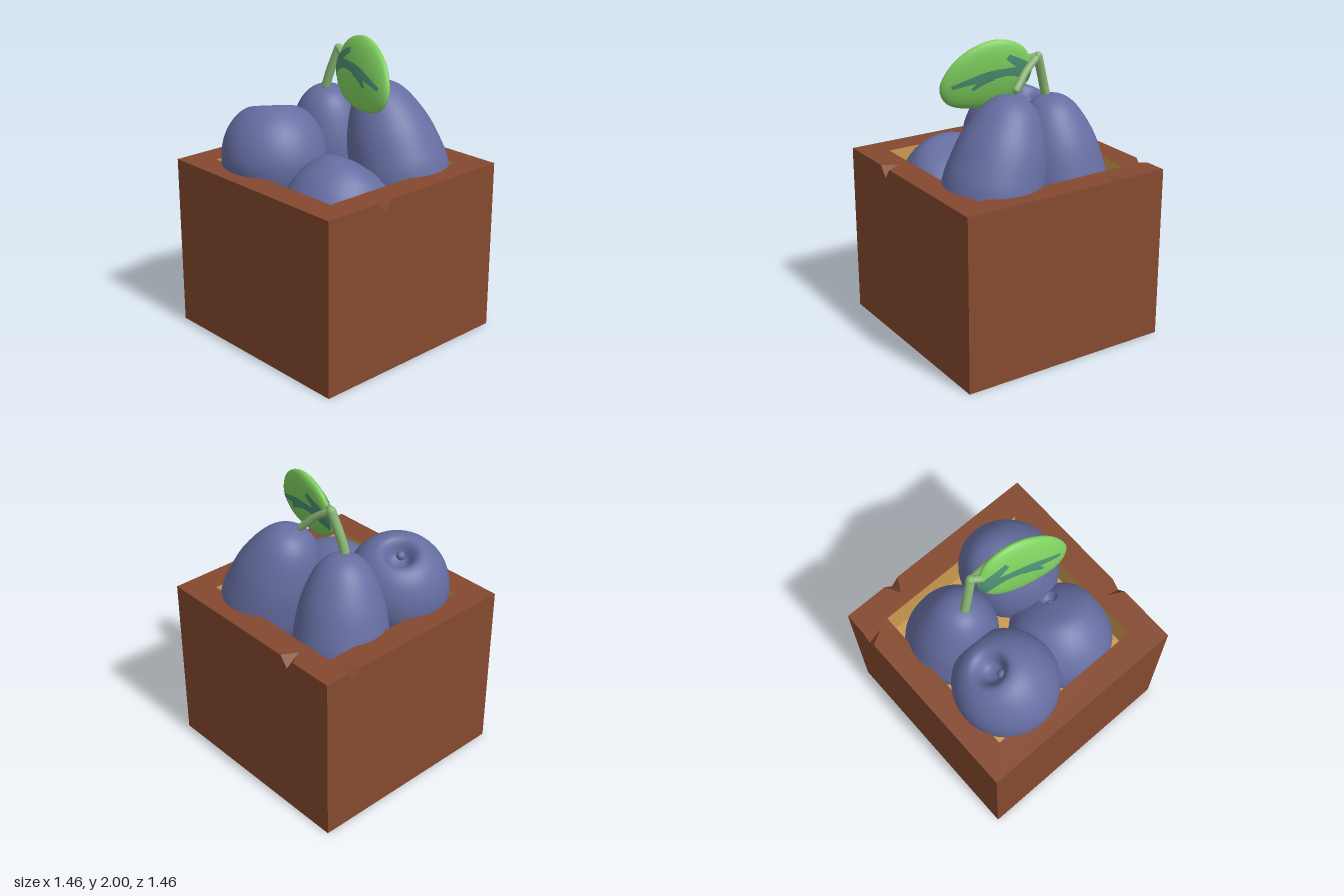
import * as THREE from 'three';
import { mergeVertices } from 'three/addons/utils/BufferGeometryUtils.js';

const mat = (name, color, side = THREE.FrontSide) => {
  const m = new THREE.MeshStandardMaterial({ color, side });
  m.name = name;
  return m;
};
const V = (x, y, z) => new THREE.Vector3(x, y, z);
const V2 = (x, y) => new THREE.Vector2(x, y);

export function createModel() {
  const model = new THREE.Group();
  model.name = 'fruitCrate';
  const wood = mat('brown wood', 0x85492f);
  const lining = mat('tan lining', 0xcb9a50);
  const skin = mat('blue skin', 0x666ea2);
  const green = mat('leaf green', 0x7fd05f);
  const veinGreen = mat('vein green', 0x4a9072, THREE.DoubleSide);
  const stemGreen = mat('stem green', 0x8ab775);

  const add = (parent, name, geometry, material) => {
    const mesh = new THREE.Mesh(geometry, material);
    mesh.name = name;
    parent.add(mesh);
    return mesh;
  };

  // Crate: four walls with a flat rim, three of them chipped at the outer edge
  const OUT = 0.73, IN = 0.55, H = 1.16, FLOOR = 0.9;
  const CHIP_W = 0.055, CHIP_H = 0.07, CHIP_D = 0.1;
  const makeWall = (name, turn, chip) => {
    const wall = new THREE.Group();
    wall.name = name;
    wall.rotation.y = turn;
    const chipped = chip !== undefined;
    const face = [V2(-OUT, 0), V2(OUT, 0), V2(OUT, H)];
    const rim = [V2(IN, -IN), V2(-IN, -IN), V2(-OUT, -OUT)];
    if (chipped) {
      face.push(V2(chip + CHIP_W, H), V2(chip, H - CHIP_H), V2(chip - CHIP_W, H));
      rim.push(V2(chip - CHIP_W, -OUT), V2(chip, CHIP_D - OUT), V2(chip + CHIP_W, -OUT));
    }
    face.push(V2(-OUT, H));
    rim.push(V2(OUT, -OUT));
    add(wall, 'outerFace', new THREE.ShapeGeometry(new THREE.Shape(face)).translate(0, 0, OUT), wood);
    add(wall, 'rim', new THREE.ShapeGeometry(new THREE.Shape(rim)).rotateX(-Math.PI / 2).translate(0, H, 0), wood);
    add(wall, 'innerFace', new THREE.PlaneGeometry(2 * IN, H - FLOOR).rotateY(Math.PI)
      .translate(0, (H + FLOOR) / 2, IN), lining);
    if (chipped) {
      const a = V(chip - CHIP_W, H, OUT), b = V(chip, H - CHIP_H, OUT);
      const c = V(chip + CHIP_W, H, OUT), p = V(chip, H, OUT - CHIP_D);
      const g = new THREE.BufferGeometry().setFromPoints([a, b, p, b, c, p]);
      g.computeVertexNormals();
      add(wall, 'chip', g, wood);
    }
    model.add(wall);
  };
  makeWall('frontWall', 0);
  makeWall('leftWall', Math.PI / 2, -0.27);
  makeWall('backWall', Math.PI, 0.37);
  makeWall('rightWall', -Math.PI / 2, -0.52);
  add(model, 'crateBottom', new THREE.PlaneGeometry(2 * OUT, 2 * OUT).rotateX(Math.PI / 2), wood);
  add(model, 'crateFloor', new THREE.PlaneGeometry(2 * IN, 2 * IN).rotateX(-Math.PI / 2).translate(0, FLOOR, 0), lining);

  // Fruit: turned profiles, leaned along an axis
  const makeFruit = (name, profile, centre, axis, scale = 1) => {
    const curve = new THREE.SplineCurve(profile.map(([r, y]) => V2(r, y)));
    const points = curve.getPoints(36).map((p) => V2(Math.max(p.x, 0), p.y));
    const fruit = new THREE.Group();
    fruit.name = name;
    fruit.position.copy(centre);
    fruit.quaternion.setFromUnitVectors(V(0, 1, 0), axis.normalize());
    fruit.scale.setScalar(scale);
    add(fruit, 'fruitBody', new THREE.LatheGeometry(points, 40), skin);
    model.add(fruit);
    return fruit;
  };
  const pear = [[0, -0.33], [0.2, -0.27], [0.3, -0.12], [0.325, 0.02], [0.315, 0.15],
    [0.275, 0.34], [0.19, 0.53], [0.1, 0.62], [0, 0.645]];
  // Round fruit with a dimple of radius d
  const round = (d, depth) => [[0, -0.33], [0.2, -0.28], [0.32, -0.11], [0.342, 0.03], [0.31, 0.17],
    [0.235, 0.28], [d * 1.5, 0.33], [d, 0.33 - depth * 0.2], [d * 0.55, 0.33 - depth * 0.85], [0, 0.33 - depth]];

  makeFruit('backRightFruit', pear, V(-0.295, 1.0, -0.22), V(0.06, 0.61, 0.08), 0.94);
  makeFruit('backLeftFruit', pear, V(0.3, 1.07, -0.31), V(-0.23, 0.64, 0.05), 0.99);
  const dimpled = makeFruit('frontRightFruit', round(0.1, 0.11), V(-0.265, 1.19, 0.295), V(-0.09, 0.33, -0.07));
  add(dimpled, 'dimpleNub', new THREE.SphereGeometry(0.03, 16, 12).translate(0.03, 0.24, 0.045), skin);
  const low = makeFruit('frontLeftFruit', round(0.055, 0.05), V(0.26, 0.945, 0.235), V(0.05, 0.26, -0.19));
  add(low, 'dimpleNub', new THREE.SphereGeometry(0.022, 16, 12).translate(0, 0.285, 0), skin);

  // Forked stem joining the two pear-shaped fruits and the leaf
  const tube = (name, pts, r) => {
    add(model, name, new THREE.TubeGeometry(new THREE.CatmullRomCurve3(pts), 14, r, 10), stemGreen);
    for (const p of [pts[0], pts[pts.length - 1]]) {
      add(model, name + 'End', new THREE.SphereGeometry(r, 10, 8).translate(p.x, p.y, p.z), stemGreen);
    }
  };
  tube('mainStem', [V(-0.23, 1.6, -0.13), V(-0.2, 1.7, -0.14), V(-0.145, 1.86, -0.165)], 0.03);
  tube('sideStem', [V(-0.145, 1.86, -0.165), V(-0.04, 1.79, -0.195), V(0.06, 1.69, -0.23)], 0.024);
  tube('leafStalk', [V(-0.145, 1.86, -0.165), V(-0.1, 1.85, -0.14), V(-0.04, 1.81, -0.12)], 0.024);

  // Leaf: a lens whose outline follows a closed curve, in front coordinates
  const CX = 0.17, CY = 1.77, T = 0.06;
  const outline = new THREE.CatmullRomCurve3([[0.485, 1.7], [0.41, 1.86], [0.27, 1.965], [0.12, 2.0],
    [-0.03, 1.955], [-0.1, 1.87], [-0.122, 1.76], [-0.06, 1.635], [0.08, 1.56], [0.28, 1.545], [0.43, 1.59]]
    .map(([x, y]) => V(x - CX, y - CY, 0)), true).getPoints(120);
  const rim = outline.map((p) => [Math.atan2(p.y, p.x), Math.hypot(p.x, p.y)]).sort((a, b) => a[0] - b[0]);
  const radiusAt = (angle) => {
    const i = rim.findIndex((q) => q[0] > angle);
    if (i <= 0) return rim[0][1];
    const [a, b] = [rim[i - 1], rim[i]];
    return a[1] + (b[1] - a[1]) * (angle - a[0]) / Math.max(b[0] - a[0], 1e-6);
  };

  const leaf = new THREE.Group();
  leaf.name = 'leaf';
  leaf.position.set(CX, CY, -0.075);
  leaf.rotation.set(-0.2, -0.2, 0, 'YXZ');
  let blade = new THREE.SphereGeometry(1, 64, 28).rotateX(Math.PI / 2);
  blade.deleteAttribute('uv');
  blade.deleteAttribute('normal');
  const pos = blade.attributes.position;
  for (let i = 0; i < pos.count; i++) {
    const x = pos.getX(i), y = pos.getY(i), R = radiusAt(Math.atan2(y, x));
    pos.setXYZ(i, x * R, y * R, pos.getZ(i) * T);
  }
  blade = mergeVertices(blade, 1e-4);
  blade.computeVertexNormals();
  add(leaf, 'leafBlade', blade, green);

  // Veins: tapered ribbons lying on both sides of the leaf; points are x, y, half width
  const ribbon = (name, pts, side) => {
    const curve = new THREE.CatmullRomCurve3(pts.map(([x, y, w]) => V(x - CX, y - CY, w)));
    const N = 24, M = 6;
    const g = new THREE.PlaneGeometry(1, 1, M, N);
    const p = g.attributes.position;
    for (let j = 0; j <= N; j++) {
      const c = curve.getPoint(j / N), t = curve.getTangent(j / N), len = Math.hypot(t.x, t.y);
      for (let i = 0; i <= M; i++) {
        const off = c.z * (i / M * 2 - 1);
        let x = c.x - t.y / len * off, y = c.y + t.x / len * off;
        let r = Math.hypot(x, y) / radiusAt(Math.atan2(y, x));
        if (r > 0.99) { x *= 0.99 / r; y *= 0.99 / r; r = 0.99; }
        p.setXYZ(j * (M + 1) + i, x, y, side * (T * Math.sqrt(1 - r * r) + 0.004));
      }
    }
    g.computeVertexNormals();
    add(leaf, name, g, veinGreen);
  };
  for (const side of [1, -1]) {
    ribbon('midVein', [[-0.13, 1.755, 0.07], [-0.06, 1.78, 0.045], [0.04, 1.8, 0.027], [0.18, 1.79, 0.03],
      [0.3, 1.76, 0.022], [0.42, 1.72, 0.012]], side);
    ribbon('upperVein', [[-0.09, 1.79, 0.04], [-0.02, 1.845, 0.03], [0.065, 1.9, 0.018]], side);
    ribbon('lowerVein', [[0.16, 1.785, 0.03], [0.23, 1.75, 0.022], [0.29, 1.7, 0.01]], side);
  }
  model.add(leaf);
  return model;
}
